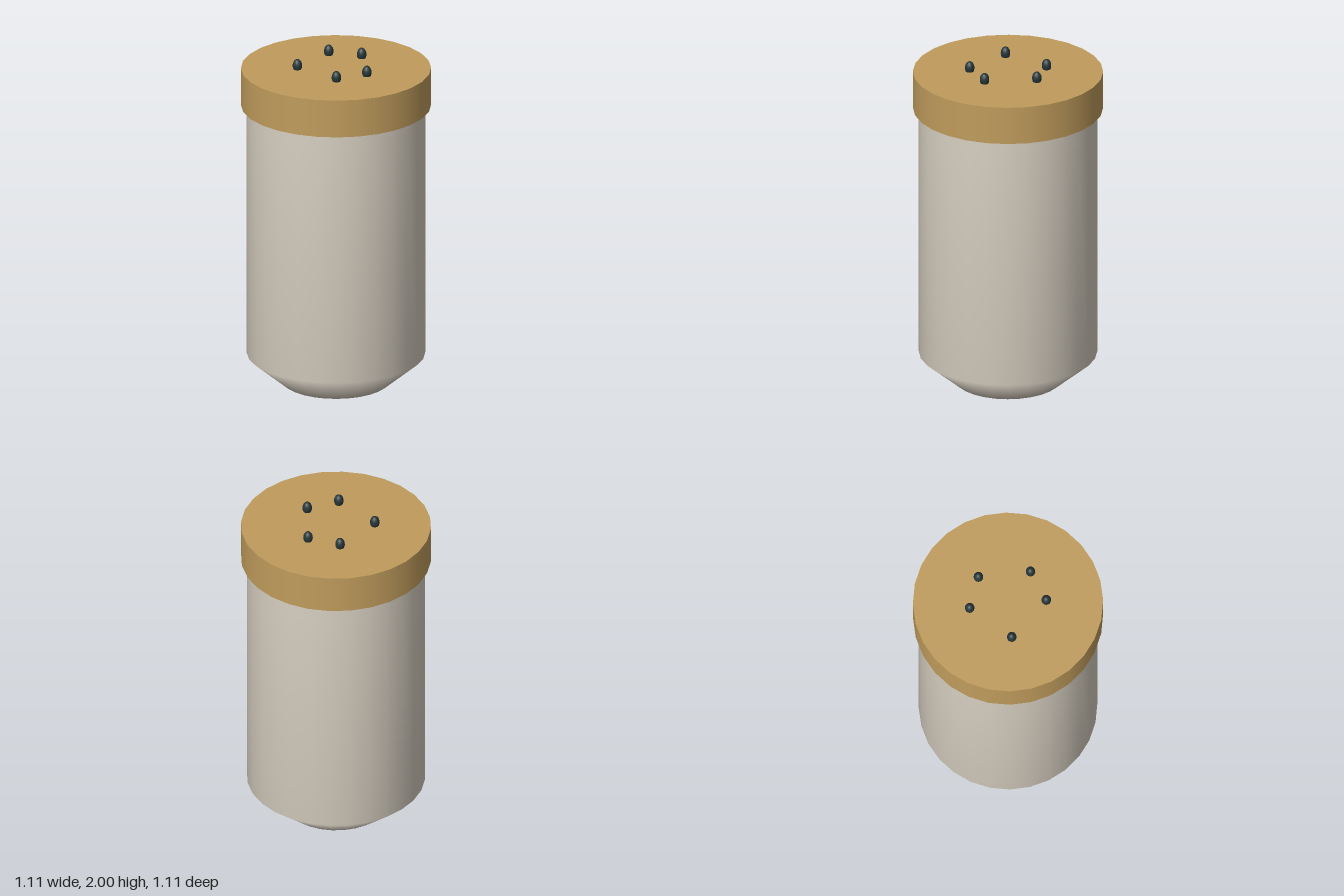
import * as THREE from 'three';

export function createModel() {
  const model = new THREE.Group();
  const sides = 28;
  const mat = (name, color) => {
    const m = new THREE.MeshStandardMaterial({ color });
    m.name = name;
    return m;
  };
  const cream = mat('cream', 0xd8d0c2);
  const tan = mat('tan', 0xc09c5c);
  const dark = mat('dark teal', 0x263638);

  const add = (name, geometry, material, x, y, z) => {
    const mesh = new THREE.Mesh(geometry, material);
    mesh.name = name;
    mesh.position.set(x, y, z);
    model.add(mesh);
    return mesh;
  };

  // Body: straight wall with a tapered, flat base and smooth shading
  const profile = [[0, 0], [0.312, 0], [0.52, 0.175], [0.52, 1.72]]
    .map(([r, y]) => new THREE.Vector2(r, y));
  add('body', new THREE.LatheGeometry(profile, sides), cream, 0, 0, 0);

  // Lid: a wider disc on top
  add('lid', new THREE.CylinderGeometry(0.554, 0.554, 0.228, sides), tan, 0, 1.824, 0);

  // Five small upright studs set into the lid
  const stud = new THREE.SphereGeometry(0.028, 14, 10);
  stud.scale(1, 1.43, 1);
  const spots = [[0, 0.223], [0.178, 0.135], [0.151, -0.169], [-0.04, -0.224], [-0.225, 0.017]];
  spots.forEach(([x, z], i) => add(`stud${i + 1}`, stud, dark, x, 1.96, z));

  return model;
}
